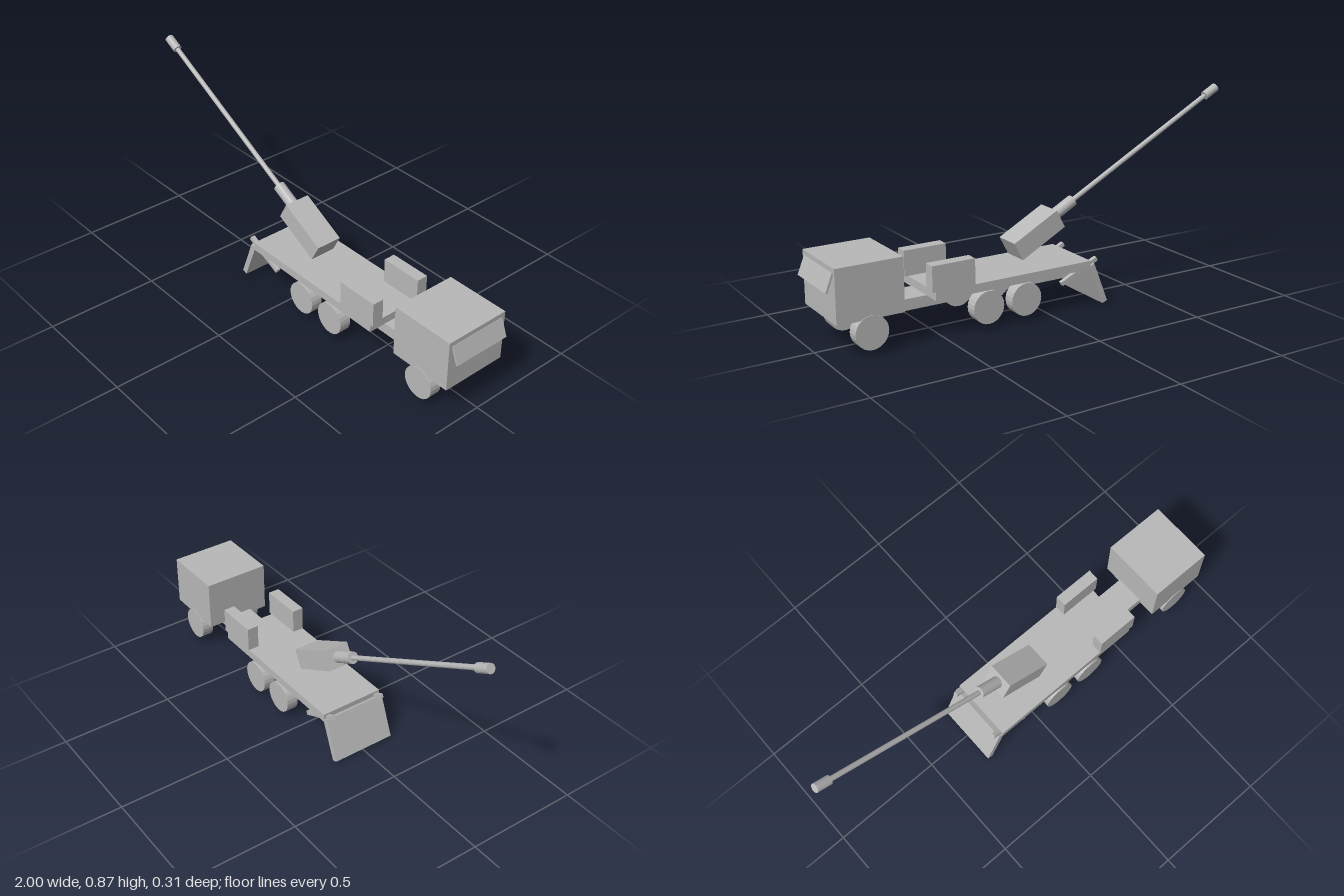
import * as THREE from 'three';

export function createModel() {
  const model = new THREE.Group();
  model.name = 'artilleryTruck';
  const grey = new THREE.MeshStandardMaterial({ color: 0xb8b8b8, flatShading: true });
  grey.name = 'plain grey';

  const add = (name, geometry, parent = model) => {
    const mesh = new THREE.Mesh(geometry, grey);
    mesh.name = name;
    parent.add(mesh);
    return mesh;
  };
  // Box given by its limits along each axis
  const box = (name, x0, x1, y0, y1, z0, z1) => {
    const m = add(name, new THREE.BoxGeometry(x1 - x0, y1 - y0, z1 - z0));
    m.position.set((x0 + x1) / 2, (y0 + y1) / 2, (z0 + z1) / 2);
    return m;
  };
  // Tilted plate running between two points of the side profile
  const plate = (name, ax, ay, bx, by, thickness, width, z = 0) => {
    const m = add(name, new THREE.BoxGeometry(Math.hypot(bx - ax, by - ay), thickness, width));
    m.position.set((ax + bx) / 2, (ay + by) / 2, z);
    m.rotation.z = Math.atan2(by - ay, bx - ax);
    return m;
  };

  // Truck body
  box('chassis', -0.215, 0.93, 0.122, 0.17, -0.066, 0.066);
  box('deck', -0.205, 0.54, 0.168, 0.205, -0.145, 0.145);
  box('cab', 0.68, 0.967, 0.152, 0.378, -0.15, 0.15);
  plate('cabFrontFlap', 0.965, 0.357, 0.995, 0.281, 0.009, 0.266);

  for (const side of [1, -1]) {
    const crate = box('deckCrate', 0.362, 0.556, 0.205, 0.315, 0.095, 0.147);
    crate.position.z *= side;

    // Wheels
    for (const x of [0.122, 0.302, 0.822]) {
      const wheel = add('wheel', new THREE.CylinderGeometry(0.071, 0.071, 0.053, 24));
      wheel.rotation.x = Math.PI / 2;
      wheel.position.set(x, 0.097, side * 0.1265);
    }

    // Struts holding the recoil spade
    plate('spadeStrut', -0.245, 0.205, -0.067, 0.122, 0.018, 0.02, side * 0.125);
  }

  // Recoil spade
  plate('recoilSpade', -0.212, 0.185, -0.282, 0.007, 0.026, 0.29);

  // Gun, built along local +x and then raised
  const gun = new THREE.Group();
  gun.name = 'gun';
  gun.position.set(-0.003, 0.329, 0);
  gun.rotation.z = Math.PI - THREE.MathUtils.degToRad(28.1);
  model.add(gun);
  add('breechBox', new THREE.BoxGeometry(0.238, 0.088, 0.12), gun);
  const tube = (name, radius, from, to) => {
    const m = add(name, new THREE.CylinderGeometry(radius, radius, to - from, 16), gun);
    m.rotation.z = -Math.PI / 2;
    m.position.x = (from + to) / 2;
  };
  tube('barrelSleeve', 0.026, 0.1, 0.232);
  tube('barrel', 0.011, 0.2, 1.08);
  tube('muzzleBrake', 0.02, 1.048, 1.119);

  return model;
}
